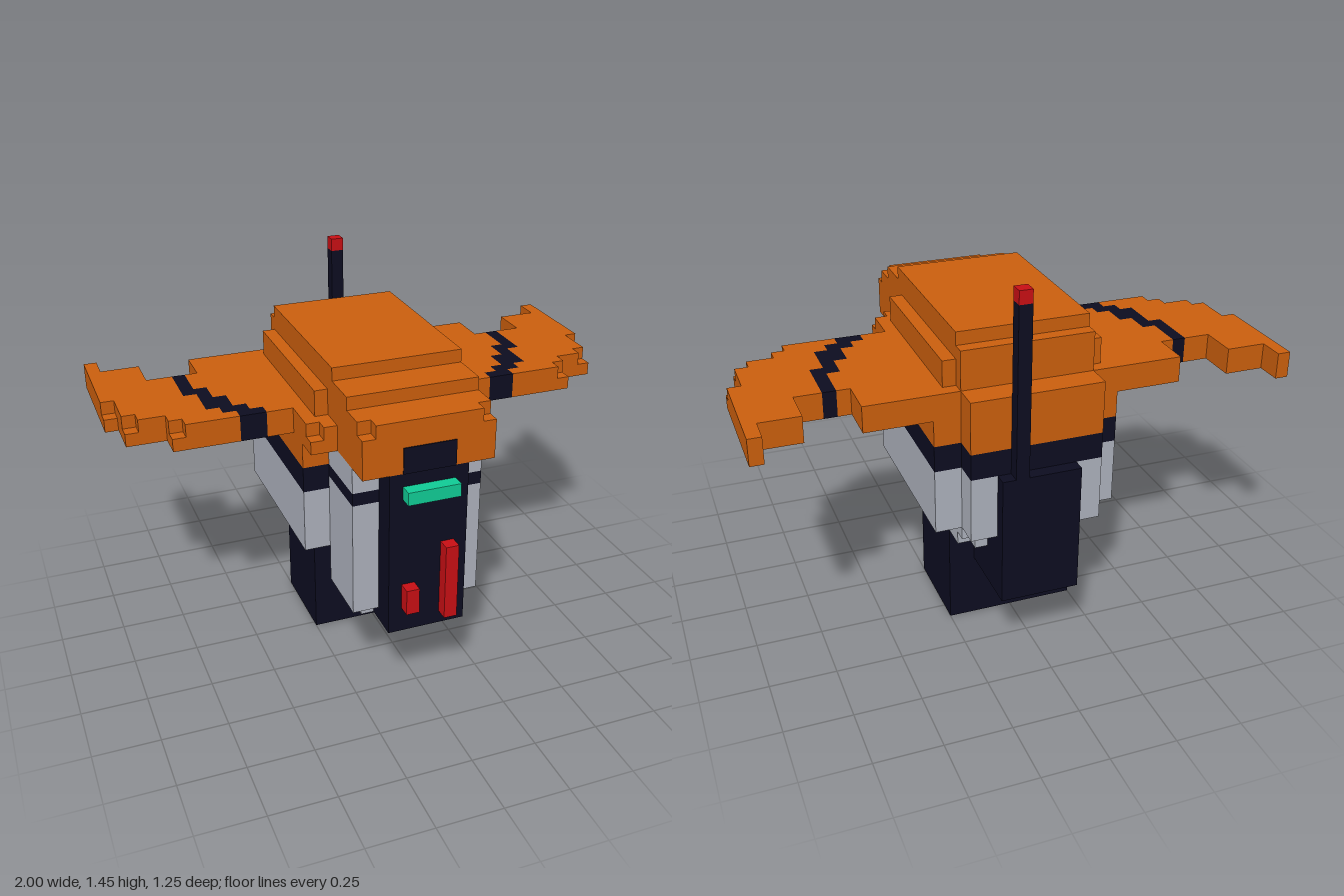
import * as THREE from 'three';

const mat = (name, color) => {
  const m = new THREE.MeshStandardMaterial({ color });
  m.name = name;
  return m;
};

export function createModel() {
  const orange = mat('orange', 0xc95e0d);
  const navy = mat('navy black', 0x0c0c20);
  const grey = mat('light grey', 0xabafba);
  const teal = mat('teal', 0x10ca94);
  const red = mat('red', 0xc60f14);
  const model = new THREE.Group();
  model.name = 'blockHelmet';

  // Box given by its limits on each axis
  function box(name, m, x0, x1, y0, y1, z0, z1, parent = model) {
    const mesh = new THREE.Mesh(new THREE.BoxGeometry(x1 - x0, y1 - y0, z1 - z0), m);
    mesh.position.set((x0 + x1) / 2, (y0 + y1) / 2, (z0 + z1) / 2);
    mesh.name = name;
    parent.add(mesh);
  }
  // Box centred on x = 0
  const mid = (name, m, w, ...r) => box(name, m, -w, w, ...r);
  // Mirrored pair of boxes
  function pair(name, m, x0, x1, ...r) {
    box(name + 'Left', m, x0, x1, ...r);
    box(name + 'Right', m, -x1, -x0, ...r);
  }

  // Stepped crown
  mid('crownTop', orange, 0.25, 1.2, 1.25, -0.425, 0.275);
  mid('crownUpper', orange, 0.25, 1.15, 1.2, -0.475, 0.425);
  mid('crownLower', orange, 0.25, 1.05, 1.15, -0.475, 0.525);
  mid('crownFront', orange, 0.25, 1.05, 1.1, 0.525, 0.575);
  mid('crownFrontTop', orange, 0.2, 1.1, 1.15, 0.525, 0.575);
  pair('crownSide', orange, 0.25, 0.3, 1.05, 1.15, -0.425, 0.225);
  mid('brow', orange, 0.25, 0.95, 1.05, 0.225, 0.575);
  mid('crownBase', orange, 0.25, 0.85, 1.05, -0.575, 0.225);
  pair('sideRim', orange, 0.25, 0.35, 0.85, 0.95, -0.475, 0.225);

  // Broad wings: z range, stripe, outer end, outer end of the upper layer
  const rows = [
    [-0.325, -0.175, 0.65, 0.7, 1, 1],
    [-0.175, -0.125, 0.6, 0.7, 1, 0.95],
    [-0.125, -0.075, 0.6, 0.65, 0.95, 0.95],
    [-0.075, -0.025, 0.55, 0.65, 0.95, 0.95],
    [-0.025, 0.025, 0.55, 0.65, 0.95, 0.9],
    [0.025, 0.075, 0.5, 0.6, 0.8, 0.8],
    [0.075, 0.125, 0.45, 0.55, 0.8, 0.75],
  ];
  for (const side of [1, -1]) {
    const wing = new THREE.Group();
    wing.name = side > 0 ? 'wingLeft' : 'wingRight';
    const part = (name, m, x0, x1, ...r) =>
      box(name, m, side > 0 ? x0 : -x1, side > 0 ? x1 : -x0, ...r, wing);
    part('wingTip', orange, 0.95, 1, 0.95, 1.05, -0.575, -0.475);
    part('wingTipBase', orange, 0.8, 1, 0.95, 1.05, -0.475, -0.325);
    part('wingRootBack', orange, 0.25, 0.6, 0.95, 1.05, -0.475, -0.325);
    part('wingRootFront', orange, 0.25, 0.35, 0.95, 1.05, 0.125, 0.275);
    part('wingRootEdge', orange, 0.25, 0.35, 0.95, 1, 0.275, 0.325);
    part('wingRootEdgeTop', orange, 0.25, 0.3, 1, 1.05, 0.275, 0.325);
    for (const [z0, z1, s0, s1, end, endTop] of rows) {
      part('wingInner', orange, 0.25, s0, 0.95, 1.05, z0, z1);
      part('wingStripe', navy, s0, s1, 0.95, 1.05, z0, z1);
      part('wingOuter', orange, s1, end, 0.95, 1, z0, z1);
      part('wingOuterTop', orange, s1, endTop, 1, 1.05, z0, z1);
    }
    model.add(wing);
  }

  // Band and grey side armour
  mid('bandBack', navy, 0.25, 0.75, 0.85, -0.575, -0.475);
  mid('band', navy, 0.35, 0.75, 0.85, -0.475, 0.225);
  mid('armourBack', grey, 0.25, 0.5, 0.75, -0.575, -0.475);
  mid('armour', grey, 0.35, 0.5, 0.75, -0.475, 0.225);
  pair('armourTab', grey, 0.15, 0.25, 0.4, 0.5, -0.425, -0.325);
  pair('armourTabEnd', grey, 0.15, 0.25, 0.45, 0.5, -0.475, -0.425);
  pair('armourTabCorner', grey, 0.15, 0.2, 0.4, 0.45, -0.475, -0.425);

  // Cheeks
  pair('cheek', grey, 0.15, 0.25, 0.35, 0.8, 0.225, 0.475);
  pair('cheekBand', navy, 0.15, 0.25, 0.8, 0.85, 0.225, 0.475);
  pair('cheekTop', grey, 0.15, 0.25, 0.85, 0.95, 0.225, 0.475);
  pair('cheekFoot', grey, 0.1, 0.2, 0.3, 0.35, 0.225, 0.425);

  // Face
  mid('faceCore', navy, 0.15, 0.35, 0.95, 0.225, 0.475);
  mid('faceCoreFoot', navy, 0.1, 0.3, 0.35, 0.225, 0.425);
  mid('facePlate', navy, 0.15, 0.35, 0.95, 0.475, 0.575);
  mid('facePlateFoot', navy, 0.15, 0.3, 0.35, 0.425, 0.575);
  mid('foreheadMark', navy, 0.1, 0.95, 1.05, 0.572, 0.579);
  mid('visor', teal, 0.1, 0.85, 0.9, 0.575, 0.625);
  box('longFaceBar', red, 0.05, 0.1, 0.35, 0.65, 0.575, 0.625);
  box('shortFaceBar', red, -0.1, -0.05, 0.4, 0.5, 0.575, 0.625);

  // Neck and back pack
  mid('neck', navy, 0.25, 0, 0.5, -0.325, 0.025);
  mid('throat', navy, 0.15, 0.3, 0.5, 0.025, 0.225);
  mid('nape', navy, 0.15, 0.25, 0.5, -0.575, -0.325);
  mid('backPlate', navy, 0.15, 0.25, 0.75, -0.625, -0.575);

  // Antenna
  box('antenna', navy, 0.05, 0.1, 0.75, 1.4, -0.625, -0.575);
  box('antennaTip', red, 0.05, 0.1, 1.4, 1.45, -0.625, -0.575);
  return model;
}
